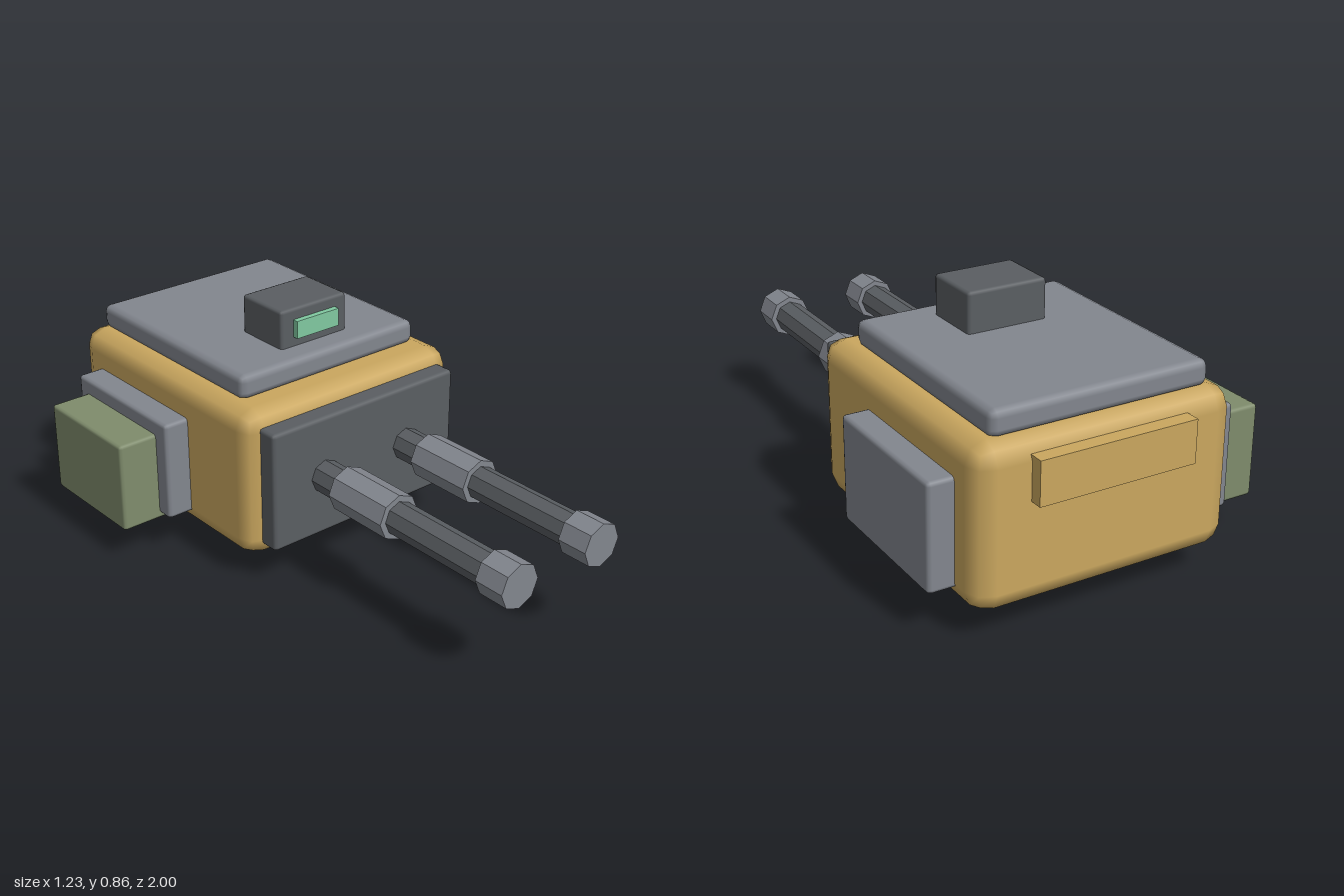
import * as THREE from 'three';
import { RoundedBoxGeometry } from 'three/addons/geometries/RoundedBoxGeometry.js';

const material = (name, color, flatShading = false) => {
  const m = new THREE.MeshStandardMaterial({ color, flatShading });
  m.name = name;
  return m;
};

export function createModel() {
  const group = new THREE.Group();
  const sand = material('sandPaint', 0xcaa75f);
  const dark = material('darkSteel', 0x5a5e62);
  const grey = material('greySteel', 0x82868e);
  const olive = material('olivePaint', 0x7f8c6c);
  const lens = material('greenLens', 0x80c8a0);

  // Box from its extents, with softened edges when a radius is given
  const box = (name, mat, [x0, x1], [y0, y1], [z0, z1], radius = 0) => {
    const size = [x1 - x0, y1 - y0, z1 - z0];
    const geometry = radius
      ? new RoundedBoxGeometry(...size, 1, radius)
      : new THREE.BoxGeometry(...size);
    const mesh = new THREE.Mesh(geometry, mat);
    mesh.name = name;
    mesh.position.set((x0 + x1) / 2, (y0 + y1) / 2, (z0 + z1) / 2);
    group.add(mesh);
  };

  // Main housing and its armour plates
  box('body', sand, [-0.38, 0.525], [0.095, 0.635], [-0.957, 0.045], 0.07);
  box('frontPlate', dark, [-0.326, 0.47], [0.148, 0.582], [0, 0.107], 0.014);
  box('roofPlate', grey, [-0.31, 0.45], [0.63, 0.718], [-0.905, -0.075], 0.026);
  box('rearPlate', sand, [-0.2, 0.345], [0.44, 0.585], [-1, -0.94]);

  // Pivot below and sight on the roof
  box('pivotBlock', dark, [-0.055, 0.196], [0, 0.13], [-0.54, -0.29], 0.012);
  box('sightHousing', dark, [-0.072, 0.213], [0.7, 0.855], [-0.38, -0.167], 0.012);
  box('sightLens', lens, [-0.02, 0.162], [0.752, 0.815], [-0.18, -0.146]);

  // Side pods and the ammunition box
  box('leftPod', grey, [0.5, 0.613], [0.15, 0.51], [-0.835, -0.295], 0.014);
  box('rightPod', grey, [-0.472, -0.36], [0.15, 0.51], [-0.835, -0.295], 0.014);
  box('ammoBox', olive, [-0.617, -0.44], [0.13, 0.455], [-0.785, -0.355], 0.012);

  // Twin octagonal barrels, each with a sleeve and a muzzle
  const barrelDark = material('barrelSteel', 0x5a5e62, true);
  const barrelGrey = material('sleeveSteel', 0x82868e, true);
  const sections = [
    ['barrel', barrelDark, 0.058, 0.08, 0.95],
    ['sleeve', barrelGrey, 0.08, 0.22, 0.472],
    ['muzzle', barrelGrey, 0.077, 0.89, 1],
  ];
  for (const [side, x] of [['left', 0.253], ['right', -0.11]]) {
    const gun = new THREE.Group();
    gun.name = side + 'Gun';
    gun.position.set(x, 0.366, 0);
    for (const [name, mat, radius, z0, z1] of sections) {
      const geometry = new THREE.CylinderGeometry(radius, radius, z1 - z0, 8).rotateX(Math.PI / 2);
      const mesh = new THREE.Mesh(geometry, mat);
      mesh.name = name;
      mesh.position.z = (z0 + z1) / 2;
      gun.add(mesh);
    }
    group.add(gun);
  }
  return group;
}
